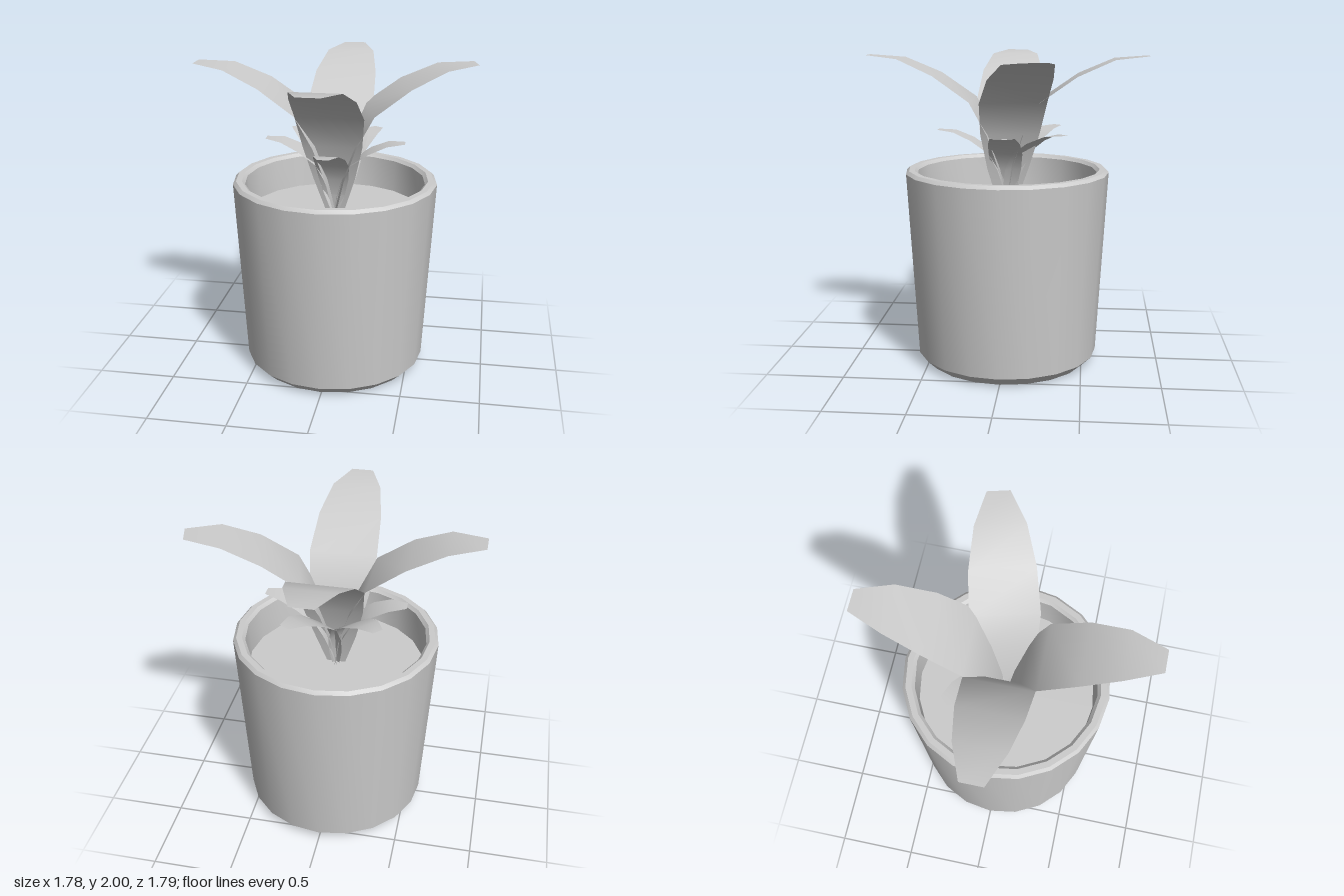
import * as THREE from 'three';
import { toCreasedNormals } from 'three/addons/utils/BufferGeometryUtils.js';

const SOIL_Y = 1.05;

// Leaf cross-sections from base to tip: [outward reach, height above soil, half width]
const LEAF_ROWS = [
  [0.0, 0.0, 0.06],
  [0.04, 0.23, 0.135],
  [0.11, 0.46, 0.19],
  [0.22, 0.67, 0.215],
  [0.45, 0.83, 0.2],
  [0.68, 0.93, 0.155],
  [0.895, 0.95, 0.07],
];

// A strip of quads bending outward along +x
function leafGeometry() {
  const positions = [];
  const indices = [];
  LEAF_ROWS.forEach(([reach, height, half], i) => {
    positions.push(reach, height, half, reach, height, -half);
    if (i > 0) {
      const a = 2 * i - 2;
      indices.push(a, a + 1, a + 2, a + 1, a + 3, a + 2);
    }
  });
  // Turn the faces so the upper side is the front
  for (let i = 0; i < indices.length; i += 3) {
    [indices[i + 1], indices[i + 2]] = [indices[i + 2], indices[i + 1]];
  }
  const geometry = new THREE.BufferGeometry();
  geometry.setAttribute('position', new THREE.Float32BufferAttribute(positions, 3));
  geometry.setIndex(indices);
  geometry.computeVertexNormals();
  return geometry;
}

function lathe(name, profile, material) {
  const points = profile.map(([r, y]) => new THREE.Vector2(r, y));
  const geometry = toCreasedNormals(new THREE.LatheGeometry(points, 20), Math.PI / 6);
  const mesh = new THREE.Mesh(geometry, material);
  mesh.name = name;
  return mesh;
}

export function createModel() {
  const model = new THREE.Group();
  model.name = 'pottedPlant';
  const grey = new THREE.MeshStandardMaterial({ color: 0xcccccc });
  const leafGrey = new THREE.MeshStandardMaterial({ color: 0xcccccc, side: THREE.DoubleSide });

  // Tapered pot with bevelled foot and rim, hollow down to the soil
  model.add(lathe('pot', [
    [0, 0], [0.53, 0], [0.592, 0.06], [0.657, 1.26], [0.637, 1.28],
    [0.6, 1.28], [0.58, 1.26], [0.568, SOIL_Y],
  ], grey));

  // Flat soil disc
  const soil = new THREE.Mesh(new THREE.CircleGeometry(0.568, 20), grey);
  soil.name = 'soil';
  soil.rotation.x = -Math.PI / 2;
  soil.position.y = SOIL_Y;
  model.add(soil);

  // Leaves fan out from the centre; angles in degrees from +x towards -z
  const geometry = leafGeometry();
  const addLeaves = (name, angles, scale) => angles.forEach((angle) => {
    const leaf = new THREE.Mesh(geometry, leafGrey);
    leaf.name = name;
    leaf.position.y = SOIL_Y;
    leaf.rotation.y = THREE.MathUtils.degToRad(angle);
    leaf.scale.setScalar(scale);
    model.add(leaf);
  });
  addLeaves('largeLeaf', [15, 90, 180, 270], 1);
  addLeaves('smallLeaf', [0, 58, 135, 180, 270], 0.5);

  return model;
}
